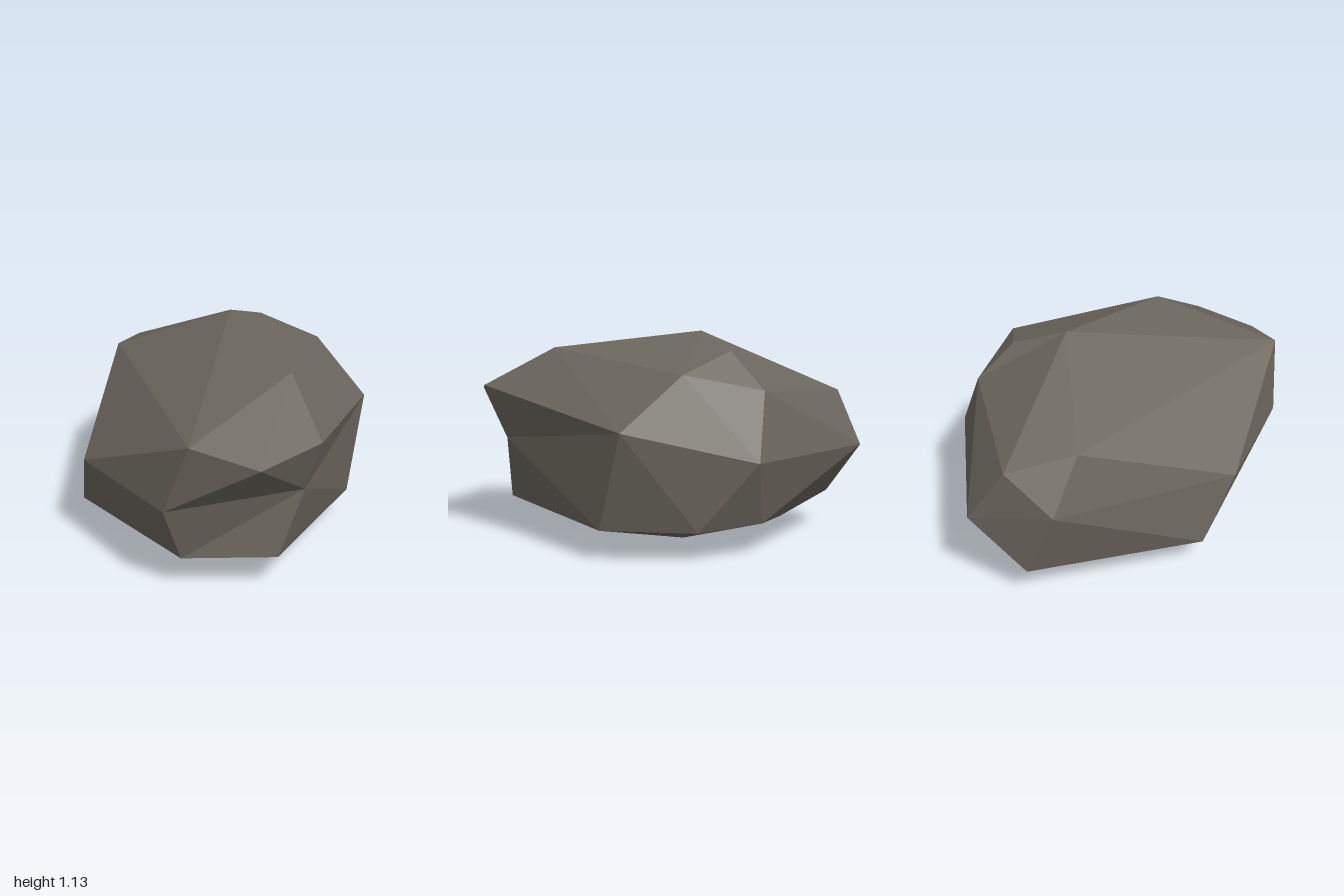
import * as THREE from 'three';
import { ConvexGeometry } from 'three/addons/geometries/ConvexGeometry.js';

export function createModel() {
  const group = new THREE.Group();
  group.name = 'boulder';

  const stone = new THREE.MeshStandardMaterial({ color: 0x6a655c });
  stone.name = 'stone grey';

  // Corners of the boulder, by height
  const crown = [[-0.12, 1.13, -0.19], [0.63, 1.04, 0.03], [-0.19, 1.04, -0.47], [0.11, 0.94, -0.64]];
  const shoulder = [
    [0.995, 0.835, 0.16], [0.97, 0.785, 0.51], [0.71, 0.865, 0.72],
    [-0.73, 0.84, 0.16], [-0.945, 0.785, -0.13], [0.44, 0.675, -0.7],
  ];
  const waist = [
    [-0.13, 0.5, 0.78], [0.58, 0.5, 0.78], [-0.91, 0.56, 0.11],
    [-1, 0.5, -0.32], [-0.24, 0.51, -0.785],
  ];
  const foot = [
    [0.845, 0.193, 0.28], [0.555, 0.19, 0.66], [-0.32, 0.165, 0.685], [-0.93, 0.19, -0.04],
    [-0.51, 0.145, -0.39], [-0.315, 0.17, -0.625], [0.05, 0.16, -0.7], [0.51, 0.165, -0.53],
  ];
  const base = [[0.15, 0.09, 0.5], [-0.03, 0, -0.17]];

  // Hollows: corners that start on the hull and are then pressed inwards
  const dents = [
    { from: [1.24, 0.545, 0.15], to: [0.88, 0.545, 0.15] },
    { from: [-0.32, 0.96, -0.625], to: [-0.32, 0.85, -0.625] },
  ].map(({ from, to }) => ({ from: new THREE.Vector3(...from), to: new THREE.Vector3(...to) }));

  const points = [...crown, ...shoulder, ...waist, ...foot, ...base].map((p) => new THREE.Vector3(...p));
  const geometry = new ConvexGeometry([...points, ...dents.map((d) => d.from)]);

  const position = geometry.attributes.position;
  const v = new THREE.Vector3();
  for (let i = 0; i < position.count; i++) {
    v.fromBufferAttribute(position, i);
    for (const { from, to } of dents) {
      if (v.distanceTo(from) < 0.001) position.setXYZ(i, to.x, to.y, to.z);
    }
  }
  geometry.computeVertexNormals(); // unshared corners give flat facets

  const rock = new THREE.Mesh(geometry, stone);
  rock.name = 'rock';
  group.add(rock);
  return group;
}
